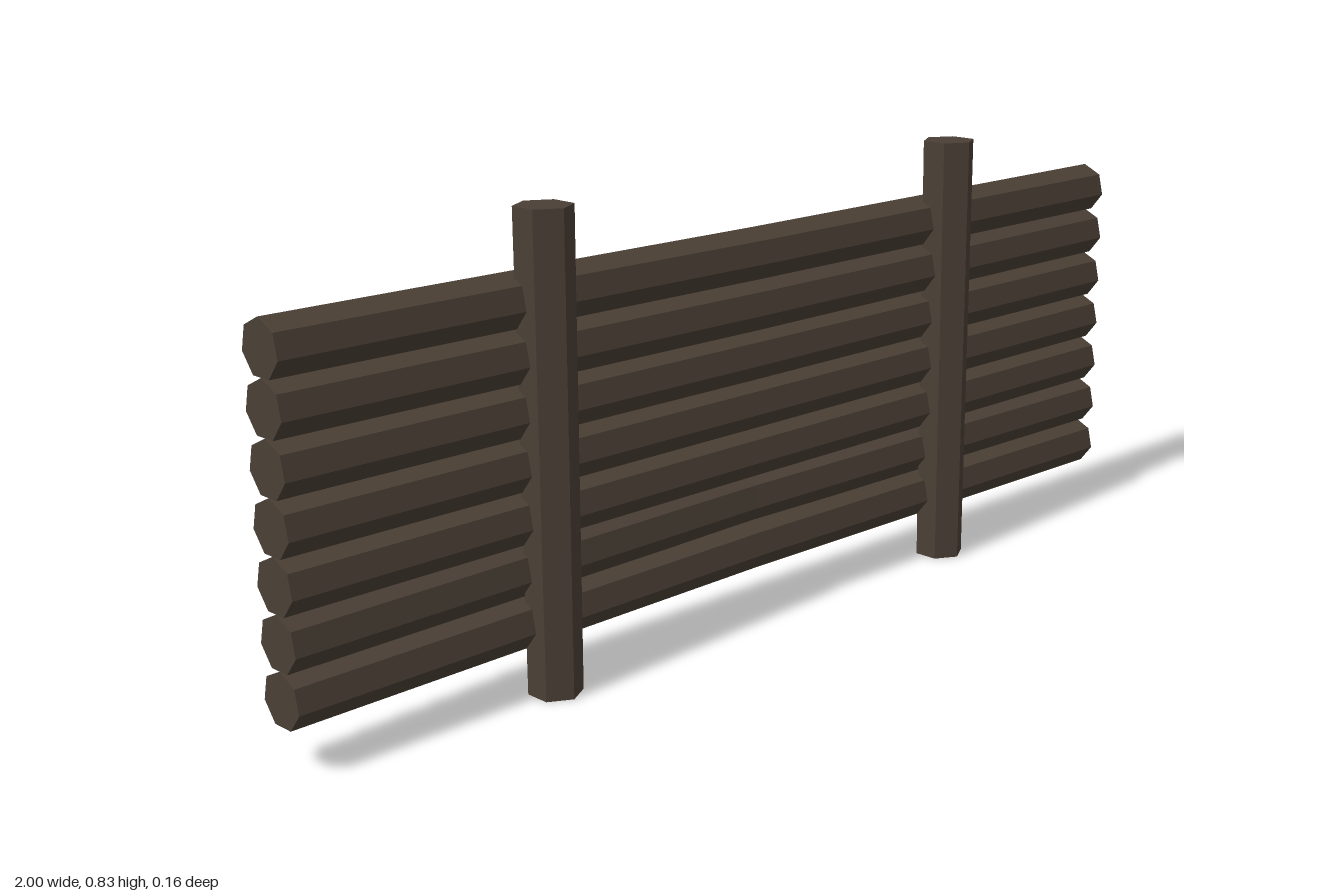
import * as THREE from 'three';

export function createModel() {
  const group = new THREE.Group();
  const wood = new THREE.MeshStandardMaterial({ color: 0x4a3f35, flatShading: true });

  // Stacked seven-sided logs, each slightly bent at mid-length: [dy, dz], bottom to top
  const bends = [[0.006, -0.003], [0, -0.018], [0.001, 0], [0, 0.001], [-0.002, 0], [0, 0.011], [-0.003, 0]];
  bends.forEach(([dy, dz], i) => {
    const geo = new THREE.CylinderGeometry(0.048, 0.048, 2, 7, 2);
    geo.rotateZ(Math.PI / 2);
    geo.rotateX(-Math.PI / 2); // one ridge on top, a flat below
    const p = geo.attributes.position;
    for (let v = 0; v < p.count; v++) {
      const k = 1 - Math.abs(p.getX(v));
      p.setY(v, p.getY(v) + dy * k);
      p.setZ(v, p.getZ(v) + dz * k);
    }
    geo.computeVertexNormals();
    const log = new THREE.Mesh(geo, wood);
    log.name = 'log' + (i + 1);
    log.position.set(0, 0.123 + i * 0.0915, -0.013);
    group.add(log);
  });

  // Hexagonal posts in front, a little thicker at the top
  for (const side of [-1, 1]) {
    const post = new THREE.Mesh(new THREE.CylinderGeometry(0.05, 0.047, 0.826, 6), wood);
    post.name = side > 0 ? 'leftPost' : 'rightPost';
    post.position.set(side * 0.499, 0.413, 0.03);
    group.add(post);
  }
  return group;
}
